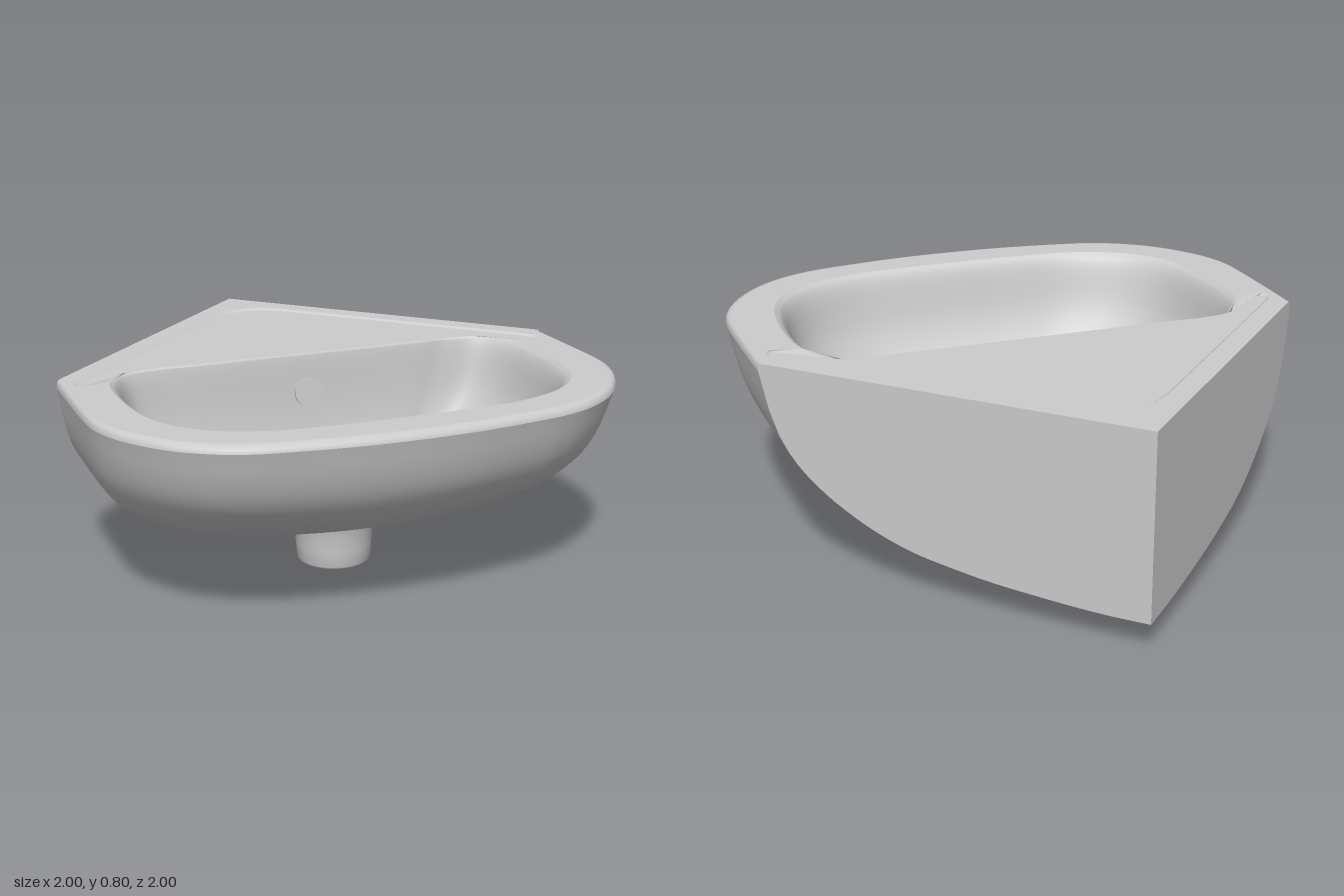
import * as THREE from 'three';

const ceramic = new THREE.MeshStandardMaterial({ color: 0xcccccc, side: THREE.DoubleSide });
ceramic.name = 'ceramic';

const V2 = (x, z) => new THREE.Vector2(x, z);
const swap = (p) => V2(p.y, p.x); // mirror across the corner diagonal
const CORNER = V2(-1, -1);
const DRAIN = V2(-0.08, -0.08);
const TOP = 0.8, DECK = 0.792, RIM = 0.77;

// Plan points scaled about a point
const scaled = (pts, c, s) => pts.map((p) => p.clone().sub(c).multiplyScalar(s).add(c));
// Plan points lifted to a height
const lift = (pts, y) => pts.map((p, i) => new THREE.Vector3(p.x, typeof y === 'function' ? y(p, i) : y, p.y));

// Distance from c along direction d to a polyline
function rayLength(poly, c, d, closed) {
  let best = 0;
  for (let i = 0; i < poly.length - (closed ? 0 : 1); i++) {
    const a = poly[i], b = poly[(i + 1) % poly.length];
    const ex = b.x - a.x, ey = b.y - a.y, ax = a.x - c.x, ay = a.y - c.y;
    const det = d.x * ey - d.y * ex;
    if (Math.abs(det) < 1e-12) continue;
    const t = (ax * ey - ay * ex) / det;
    const u = (ax * d.y - ay * d.x) / det;
    if (u > -1e-6 && u < 1 + 1e-6 && t > best) best = t;
  }
  return best;
}

// Skin through rings of equal point count
function loft(rings, closed) {
  const n = rings[0].length, pos = [], index = [];
  rings.forEach((r) => r.forEach((p) => pos.push(p.x, p.y, p.z)));
  for (let j = 0; j < rings.length - 1; j++) {
    for (let i = 0; i < (closed ? n : n - 1); i++) {
      const a = j * n + i, b = j * n + ((i + 1) % n);
      index.push(a, b, a + n, b, b + n, a + n);
    }
  }
  const g = new THREE.BufferGeometry();
  g.setAttribute('position', new THREE.Float32BufferAttribute(pos, 3));
  g.setIndex(index);
  g.computeVertexNormals();
  return g;
}

// Flat horizontal face with optional hole
function flat(pts, y, hole) {
  const flip = (list) => list.map((p) => V2(p.x, -p.y));
  const shape = new THREE.Shape(flip(pts));
  if (hole) shape.holes.push(new THREE.Path(flip(hole)));
  return new THREE.ShapeGeometry(shape).rotateX(-Math.PI / 2).translate(0, y, 0);
}

// Height of the underside: s is 0 at the wall corner and 1 at the outer rim
const profile = new THREE.SplineCurve([
  V2(0, 0.11), V2(0.15, 0.112), V2(0.37, 0.135), V2(0.5, 0.162), V2(0.6, 0.191), V2(0.7, 0.243), V2(0.8, 0.32),
  V2(0.88, 0.407), V2(0.93, 0.49), V2(0.96, 0.57), V2(0.98, 0.655), V2(0.993, 0.73), V2(1, RIM),
]).getPoints(300);
function height(s) {
  if (s >= 1) return RIM;
  const i = Math.max(1, profile.findIndex((p) => p.x >= s));
  const a = profile[i - 1], b = profile[i];
  return THREE.MathUtils.lerp(a.y, b.y, THREE.MathUtils.clamp((s - a.x) / (b.x - a.x), 0, 1));
}

export function createModel() {
  const group = new THREE.Group();
  const add = (name, geometry) => {
    const m = new THREE.Mesh(geometry, ceramic);
    m.name = name;
    group.add(m);
    return m;
  };

  // Outer rim in plan, from one wall round to the other
  const half = [
    V2(0.49, -1), V2(0.68, -0.82), V2(0.86, -0.64), V2(0.94, -0.52), V2(0.985, -0.38), V2(1, -0.22),
    V2(0.975, -0.07), V2(0.93, 0.04), V2(0.87, 0.135), V2(0.71, 0.345),
  ];
  const outline = new THREE.SplineCurve([...half, V2(0.535, 0.535), ...half.map(swap).reverse()]).getPoints(120);

  // Underside height, fuller along the diagonal
  const underside = (p) => {
    const d = p.clone().sub(CORNER), r = d.length();
    if (r < 1e-6) return height(0);
    const s = r / rayLength(outline, CORNER, d.divideScalar(r), false);
    return height(s * (1 - 0.32 * (2 * d.x * d.y) ** 4 * s * Math.max(0, 1 - s)));
  };

  // Rounded triangular opening under the deck, reaching to the drain
  const openingPath = new THREE.Path();
  openingPath.moveTo(-0.87, -0.77);
  openingPath.lineTo(-0.87, 0.08);
  openingPath.bezierCurveTo(-0.87, 0.24, -0.75, 0.32, -0.5, 0.19);
  openingPath.quadraticCurveTo(-0.43, 0.14, -0.35, 0.05);
  openingPath.lineTo(0.05, -0.35);
  openingPath.quadraticCurveTo(0.14, -0.43, 0.19, -0.5);
  openingPath.bezierCurveTo(0.32, -0.75, 0.24, -0.87, 0.08, -0.87);
  openingPath.lineTo(-0.77, -0.87);
  openingPath.quadraticCurveTo(-0.87, -0.87, -0.87, -0.77);
  const opening = openingPath.getPoints(12);

  // Curved shell from the opening out to the rim and the walls
  const wallRun = Array.from({ length: 39 }, (_, i) => V2(-1 + (1.49 * (i + 1)) / 40, -1));
  const outer = [...outline, ...wallRun.map(swap).reverse(), CORNER, ...wallRun];
  const hub = V2(-0.6, -0.6);
  const inner = outer.map((p) => {
    const d = p.clone().sub(hub).normalize();
    return d.clone().multiplyScalar(rayLength(opening, hub, d, true)).add(hub);
  });
  const rings = [];
  for (let j = 0; j <= 28; j++) {
    const k = 1 - (1 - j / 28) ** 2;
    rings.push(lift(inner.map((p, i) => p.clone().lerp(outer[i], k)), underside));
  }
  add('outerShell', loft(rings, true));

  // Hollow under the deck, its long side following the back of the bowl
  const inside = V2(-0.87, -0.87);
  const ceilingY = 0.73;
  const hollowRings = [[0.74, 1], [0.765, 0.7], [0.8, 0.42], [0.83, 0.27], [0.87, 0.16], [0.95, 0.05], [1, 0]];
  add('hollowWalls', loft(hollowRings.map(([s, f]) => lift(
    scaled(inner, inside, s),
    (p, i) => THREE.MathUtils.lerp(underside(inner[i]), ceilingY, f),
  )), true));
  add('hollowCeiling', flat(scaled(inner, inside, 0.74), ceilingY));

  // Flat faces against the two walls
  const edge = [CORNER, ...wallRun, outline[0]];
  for (const [name, side] of [['backWallFace', edge], ['sideWallFace', edge.map(swap)]]) {
    add(name, loft([lift(side, underside), lift(side, TOP)], false));
  }

  // Rounded outer lip
  const lip = scaled(outline, CORNER, 0.984);
  add('outerLip', loft([
    lift(outline, RIM), lift(scaled(outline, CORNER, 0.9985), 0.785),
    lift(scaled(outline, CORNER, 0.993), 0.796), lift(lip, TOP),
  ], false));

  // Bowl edge in plan
  const bowlHalf = [
    V2(0.08, -0.66), V2(0.17, -0.755), V2(0.3, -0.835), V2(0.43, -0.8), V2(0.62, -0.64),
    V2(0.78, -0.43), V2(0.825, -0.3), V2(0.82, -0.15), V2(0.74, 0.04), V2(0.58, 0.235),
  ];
  const bowlKeys = [V2(-0.29, -0.29), ...bowlHalf, V2(0.41, 0.41), ...bowlHalf.map(swap).reverse()];
  const bowlCurve = new THREE.CatmullRomCurve3(lift(bowlKeys, 0), true);
  const bowl = bowlCurve.getPoints(132).slice(0, 132).map((p) => V2(p.x, p.z));

  // The bowl edge meets the raised rim from first to last and ramps to the deck beyond
  const first = 24, last = 108, ramp = 8;
  const edgeY = (p, i) => {
    const beyond = Math.max(first - i, i - last, 0);
    return THREE.MathUtils.lerp(TOP, DECK, Math.min(1, beyond / ramp));
  };

  // Ledge that steps down to the deck
  const ledgePath = new THREE.Path();
  ledgePath.moveTo(-0.87, 0.53);
  ledgePath.quadraticCurveTo(-0.917, 0.54, -0.917, 0.46);
  ledgePath.lineTo(-0.917, -0.64);
  ledgePath.quadraticCurveTo(-0.917, -0.917, -0.64, -0.917);
  ledgePath.lineTo(0.46, -0.917);
  ledgePath.quadraticCurveTo(0.54, -0.917, 0.53, -0.87);
  const ledge = ledgePath.getPoints(12);
  const ledgeFoot = scaled(ledge, V2(-0.1, -0.1), 0.985);
  const repeat = (p) => Array(ramp + 1).fill(p);
  const rimEdge = bowl.slice(first, last + 1);
  add('rimTop', flat([CORNER, ...lip], TOP, [...rimEdge, ...ledge]));
  const edge3 = lift(bowl, edgeY);
  add('ledge', loft([
    lift([...repeat(bowl[last]), ...ledge, ...repeat(bowl[first])], TOP),
    [...edge3.slice(last, last + ramp + 1), ...lift(ledgeFoot, DECK), ...edge3.slice(first - ramp, first + 1)],
  ], false));
  const deckEdge = [...bowl.slice(last + ramp), ...bowl.slice(0, first - ramp + 1)];
  add('deck', flat([...ledgeFoot, ...deckEdge.reverse()], DECK));

  // Bowl, blending from its edge to the round drain
  const drainRing = bowl.map((p) => {
    const along = (p.x - p.y) / 1.7, across = (p.x + p.y - 0.12) / 1; // even spread round the long bowl
    return V2(across + along, across - along).normalize().multiplyScalar(0.165).add(DRAIN);
  });
  const fall = new THREE.SplineCurve([
    V2(0.025, 0.787), V2(0.06, 0.74), V2(0.14, 0.565), V2(0.3, 0.42), V2(0.56, 0.315), V2(0.85, 0.257), V2(1, 0.24),
  ]).getPoints(28);
  add('bowl', loft([
    edge3,
    ...fall.map((f) => lift(bowl.map((p, i) => p.clone().lerp(drainRing[i], f.x)), f.y)),
  ], true));

  // Recessed drain seat
  const seat = add('drainSeat', new THREE.LatheGeometry([V2(0, 0.22), V2(0.163, 0.22), V2(0.166, 0.241)], 48));
  seat.position.set(DRAIN.x, 0, DRAIN.y);

  // Overflow opening on the back of the bowl
  const overflow = add('overflowPlate', new THREE.CylinderGeometry(0.06, 0.06, 0.009, 32).rotateX(Math.PI / 2));
  overflow.position.set(-0.272, 0.63, -0.272);
  overflow.rotation.set(-0.1, Math.PI / 4, 0, 'YXZ');

  // Drain outlet
  const outlet = add('drainOutlet', new THREE.LatheGeometry([
    V2(0, 0.16), V2(0.1, 0.16), V2(0.1, 0.012), V2(0.11, 0), V2(0.138, 0), V2(0.15, 0.012),
    V2(0.156, 0.08), V2(0.16, 0.14), V2(0.17, 0.18),
  ], 48));
  outlet.position.set(DRAIN.x, 0, DRAIN.y);

  // Overflow channel rising behind the bowl
  const channel = new THREE.CatmullRomCurve3([[-0.16, 0.118], [-0.27, 0.125], [-0.36, 0.21], [-0.385, 0.36], [-0.37, 0.73]]
    .map(([d, y]) => new THREE.Vector3(d, y, d)));
  add('overflowChannel', new THREE.TubeGeometry(channel, 32, 0.092, 24));

  return group;
}
